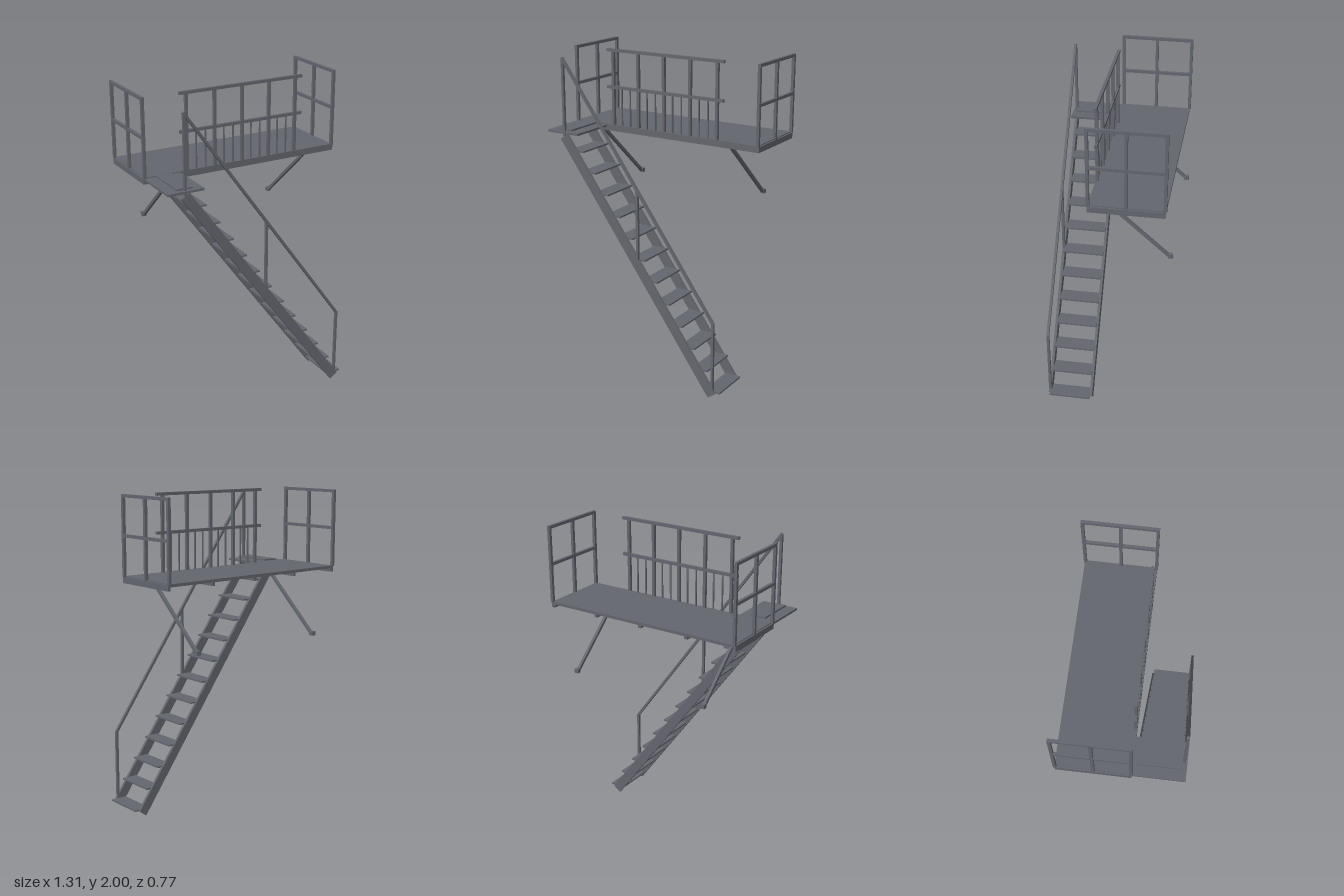
import * as THREE from 'three';

export function createModel() {
  const model = new THREE.Group();
  model.name = 'platformWithStairs';
  const steel = new THREE.MeshStandardMaterial({ color: 0x64666e });
  steel.name = 'grey steel';

  function group(name) {
    const g = new THREE.Group();
    g.name = name;
    model.add(g);
    return g;
  }

  // Box given by its limits on each axis
  function slab(parent, name, x0, x1, y0, y1, z0, z1) {
    const m = new THREE.Mesh(new THREE.BoxGeometry(x1 - x0, y1 - y0, z1 - z0), steel);
    m.position.set((x0 + x1) / 2, (y0 + y1) / 2, (z0 + z1) / 2);
    m.name = name;
    parent.add(m);
    return m;
  }

  // Rectangular bar from a to b: w is the width across, d the depth in the plane of the slope
  function bar(parent, name, a, b, w = 0.018, d = w) {
    const p = new THREE.Vector3(...a), q = new THREE.Vector3(...b);
    const m = new THREE.Mesh(new THREE.BoxGeometry(d, w, p.distanceTo(q)), steel);
    const dir = q.clone().sub(p).normalize();
    const side = Math.abs(dir.z) < 0.01 ? new THREE.Vector3(0, 0, 1) : new THREE.Vector3(1, 0, 0);
    const depth = new THREE.Vector3().crossVectors(side, dir);
    m.quaternion.setFromRotationMatrix(new THREE.Matrix4().makeBasis(depth, side, dir));
    m.position.copy(p).add(q).multiplyScalar(0.5);
    m.name = name;
    parent.add(m);
    return m;
  }

  // Deck plate on a front beam and five cross beams
  const deck = group('deck');
  slab(deck, 'deckPlate', -0.645, 0.645, 1.507, 1.525, -0.358, 0.08);
  slab(deck, 'frontBeam', -0.655, 0.655, 1.485, 1.508, 0.06, 0.08);
  for (let i = -2; i <= 2; i++) {
    const x = i * 0.3225;
    slab(deck, 'crossBeam', x - 0.01, x + 0.01, 1.485, 1.508, -0.348, 0.07);
  }
  for (const s of [-1, 1]) slab(deck, 'endEdge', s * 0.647 - 0.009, s * 0.647 + 0.009, 1.485, 1.52, -0.355, 0.08);

  // End railings
  for (const s of [-1, 1]) {
    const g = group(s > 0 ? 'leftEndRailing' : 'rightEndRailing');
    const x = s * 0.647;
    for (const z of [-0.355, -0.138, 0.076]) bar(g, 'post', [x, 1.52, z], [x, 1.985, z]);
    bar(g, 'topRail', [x, 1.991, -0.364], [x, 1.991, 0.085]);
    bar(g, 'middleRail', [x, 1.762, -0.355], [x, 1.762, 0.076]);
  }

  // Front railing with thin balusters below the middle rail
  const front = group('frontRailing');
  const rz = 0.071;
  for (const y of [1.991, 1.762]) bar(front, 'rail', [-0.415, y, rz], [0.415, y, rz]);
  for (let i = -6; i <= 6; i++) {
    const x = i * 0.0617;
    if (i % 3 === 0) bar(front, 'post', [x, 1.52, rz], [x, 1.988, rz]);
    else bar(front, 'baluster', [x, 1.52, rz], [x, 1.758, rz], 0.008);
  }

  // Diagonal braces with wall blocks
  for (const x of [-0.463, 0.46]) {
    const g = group('brace');
    bar(g, 'braceBar', [x, 1.49, 0.055], [x, 1.112, -0.365]);
    slab(g, 'wallBlock', x - 0.013, x + 0.013, 1.1, 1.126, -0.386, -0.358);
  }

  // Landing at the head of the stairs
  slab(model, 'landing', -0.65, -0.42, 1.507, 1.52, 0.08, 0.383);

  // Stairs
  const stairs = group('stairs');
  for (const z of [0.1, 0.364]) bar(stairs, 'stringer', [-0.535, 1.488, z], [0.531, 0.021, z], 0.017, 0.06);
  for (let i = 0; i < 13; i++) {
    const x = 0.532 - i * 0.0889, y = 0.045 + i * 0.1236;
    slab(stairs, 'tread', x - 0.05, x + 0.05, y - 0.005, y + 0.005, 0.103, 0.361);
  }

  // Sloping handrail on the outer side
  const hand = group('handrail');
  const hz = 0.365;
  bar(hand, 'slopingRail', [-0.538, 1.97, hz], [0.535, 0.487, hz], 0.016);
  for (const [x, y0, y1] of [[-0.533, 1.49, 1.965], [0, 0.77, 1.228], [0.532, 0.03, 0.492]])
    bar(hand, 'handrailPost', [x, y0, hz], [x, y1, hz], 0.016);

  return model;
}
